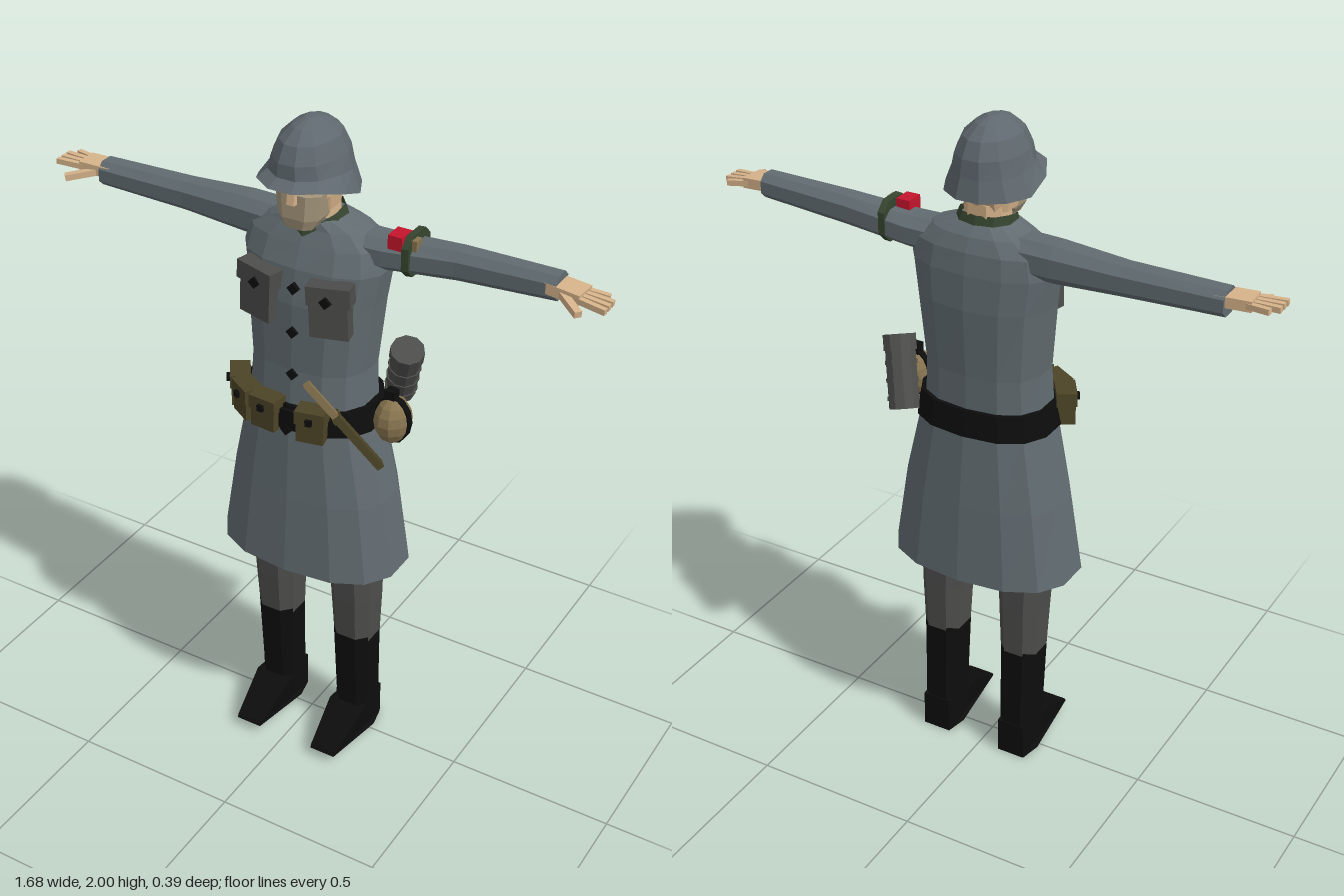
import * as THREE from 'three';

const V = (x, y, z) => new THREE.Vector3(x, y, z);
const mat = (name, color, side = THREE.FrontSide) => {
  const m = new THREE.MeshStandardMaterial({ color, side, flatShading: true });
  m.name = name;
  return m;
};

// Closed tube through oval sections [t, a0, a1, b0, b1, offset?].
// axis 'y': t = y, a = x range, b = z range; axis 'x': t = x, a = z range, b = y range.
function loft(axis, sections, n = 10, pow = 0.8, capStart = true, capEnd = true) {
  const pos = [], idx = [];
  const put = (t, a, b) => (axis === 'y' ? pos.push(a, t, b) : pos.push(t, b, a));
  const bend = v => Math.sign(v) * Math.abs(v) ** pow;
  for (const [t, a0, a1, b0, b1, offset] of sections) {
    for (let j = 0; j < n; j++) {
      const th = ((j + 0.5) / n) * Math.PI * 2, s = -Math.sin(th);
      put(t + (offset ? offset(s) : 0),
        (a0 + a1) / 2 + bend(Math.cos(th)) * (a1 - a0) / 2,
        (b0 + b1) / 2 + bend(s) * (b1 - b0) / 2);
    }
  }
  const last = sections.length - 1;
  for (let i = 0; i < last; i++) for (let j = 0; j < n; j++) {
    const k = (j + 1) % n, a = i * n + j, b = i * n + k;
    idx.push(a, b, b + n, a, b + n, a + n);
  }
  const cap = (i, flip) => {
    const [t, a0, a1, b0, b1] = sections[i], c = pos.length / 3;
    put(t, (a0 + a1) / 2, (b0 + b1) / 2);
    for (let j = 0; j < n; j++) {
      const p = i * n + j, q = i * n + (j + 1) % n;
      idx.push(c, flip ? q : p, flip ? p : q);
    }
  };
  if (capStart) cap(0, true);
  if (capEnd) cap(last, false);
  const g = new THREE.BufferGeometry();
  g.setAttribute('position', new THREE.Float32BufferAttribute(pos, 3));
  g.setIndex(idx);
  const flat = g.toNonIndexed();
  flat.computeVertexNormals();
  return flat;
}

export function createModel() {
  const root = new THREE.Group();
  root.name = 'soldier';

  const cloth = mat('coat grey', 0x616b70);
  const steel = mat('helmet steel', 0x5f686e, THREE.DoubleSide);
  const grey = mat('trouser grey', 0x4d4d4c);
  const black = mat('black leather', 0x0d0d0d);
  const skin = mat('skin', 0xd6b38a);
  const stubble = mat('jaw stubble', 0xa5977c);
  const olive = mat('olive canvas', 0x4c4427);
  const tan = mat('tan felt', 0x87744f);
  const green = mat('collar green', 0x36452f, THREE.DoubleSide);
  const red = mat('red patch', 0xc4152c);

  const add = (name, geo, m, parent = root) => {
    const o = new THREE.Mesh(geo, m);
    o.name = name;
    parent.add(o);
    return o;
  };
  const box = (name, p, s, m, ry = 0, rz = 0) => {
    const o = add(name, new THREE.BoxGeometry(...s), m);
    o.position.set(...p);
    o.rotation.set(0, ry, rz);
    return o;
  };
  // Bar running between two points
  const bar = (name, a, b, w, h, m) => {
    const o = add(name, new THREE.BoxGeometry(w, h, a.distanceTo(b)), m);
    o.position.copy(a).lerp(b, 0.5);
    o.lookAt(b);
    return o;
  };

  // Long coat, belt and collar
  add('coat', loft('y', [
    [0.66, -0.272, 0.298, -0.186, 0.18],
    [0.9, -0.235, 0.26, -0.168, 0.162],
    [1.13, -0.19, 0.206, -0.15, 0.142],
    [1.2, -0.178, 0.192, -0.138, 0.132],
    [1.3, -0.174, 0.186, -0.138, 0.122],
    [1.5, -0.192, 0.206, -0.148, 0.118],
    [1.6, -0.207, 0.222, -0.142, 0.102],
    [1.66, -0.195, 0.208, -0.132, 0.075],
    [1.7, -0.14, 0.155, -0.115, 0.055],
    [1.725, -0.08, 0.085, -0.092, 0.05],
  ], 14, 0.82), cloth);
  add('belt', loft('y', [
    [1.125, -0.203, 0.216, -0.163, 0.152], [1.2, -0.19, 0.204, -0.15, 0.144],
  ], 14, 0.82), black);
  const dip = s => (s > 0 ? -0.02 * s : 0);
  add('collar', loft('y', [
    [1.7, -0.085, 0.1, -0.1, 0.065, dip], [1.75, -0.075, 0.08, -0.085, 0.055, s => dip(s) * 1.6],
  ], 10, 0.9, false, false), green);
  box('buckle', [0.01, 1.162, 0.152], [0.055, 0.06, 0.012], black);

  // Coat buttons and breast pockets
  const button = (x, y, z) => {
    const o = add('button', new THREE.CylinderGeometry(0.018, 0.018, 0.012, 4), black);
    o.position.set(x, y, z);
    o.rotation.x = Math.PI / 2;
  };
  for (const [y, z] of [[1.55, 0.114], [1.42, 0.12], [1.29, 0.122], [1.13, 0.155]]) button(0.01, y, z);
  for (const s of [-1, 1]) {
    const x = 0.013 + s * 0.109;
    box('pocket', [x, 1.505, 0.11], [0.108, 0.13, 0.045], grey, s * 0.22, s * 0.04);
    box('pocketFlap', [x, 1.565, 0.112], [0.122, 0.055, 0.05], grey, s * 0.22, s * 0.06);
    button(x, 1.55, 0.138);
  }

  // Legs and boots
  for (const [name, cx, lean] of [['right', -0.11, -0.002], ['left', 0.152, -0.005]]) {
    add(name + 'TrouserLeg', loft('y', [
      [0.37, cx - 0.063, cx + 0.063, -0.076, 0.062],
      [0.52, cx - 0.069, cx + 0.069, -0.08, 0.075],
      [0.7, cx + lean - 0.078, cx + lean + 0.078, -0.08, 0.082],
    ], 8, 0.75), grey);
    add(name + 'BootShaft', loft('y', [
      [0.03, cx - 0.059, cx + 0.059, -0.084, 0.045],
      [0.14, cx - 0.057, cx + 0.057, -0.083, 0.05],
      [0.385, cx - 0.062, cx + 0.062, -0.075, 0.064],
    ], 8, 0.7), black);
    const side = new THREE.Shape([[-0.084, 0.002], [-0.02, 0.004], [0.197, 0.03], [0.19, 0.042],
      [0.05, 0.115], [-0.084, 0.115]].map(p => new THREE.Vector2(...p)));
    const foot = new THREE.ExtrudeGeometry(side, { depth: 0.116, bevelEnabled: false });
    foot.translate(0, 0, -0.058).rotateY(-Math.PI / 2);
    const p = foot.attributes.position;
    for (let i = 0; i < p.count; i++) {
      const z = p.getZ(i);
      p.setX(i, cx + p.getX(i) * (z > 0.1 ? 0.7 : z < -0.05 ? 0.75 : 1));
    }
    foot.computeVertexNormals();
    add(name + 'BootFoot', foot, black);
  }

  // Sleeves
  add('rightSleeve', loft('x', [
    [-0.7, -0.08, 0.004, 1.615, 1.692],
    [-0.42, -0.09, 0.004, 1.607, 1.697],
    [-0.22, -0.1, 0.02, 1.597, 1.71],
    [-0.1, -0.1, 0.03, 1.6, 1.71],
  ], 8, 0.8), cloth);
  add('leftSleeve', loft('x', [
    [0.1, -0.1, 0.03, 1.6, 1.7],
    [0.22, -0.1, 0.025, 1.605, 1.7],
    [0.42, -0.09, 0.005, 1.625, 1.714],
    [0.7, -0.08, -0.002, 1.645, 1.72],
  ], 8, 0.8), cloth);

  // Hands: palm, four fingers and a thumb
  for (const [s, y, drop] of [[-1, 1.663, 0.004], [1, 1.685, -0.014]]) {
    const at = (x, dy, z) => V(s * x, y + dy, z);
    bar('palm', at(0.67, 0, -0.038), at(0.768, drop / 2, -0.032), 0.068, 0.03, skin);
    for (let i = 0; i < 4; i++) {
      const z = -0.06 + i * 0.018;
      bar('finger', at(0.755, drop / 2, z), at(i === 0 ? 0.82 : 0.84, drop, z * 1.35 + 0.012), 0.015, 0.016, skin);
    }
    bar('thumb', at(0.71, -0.005, -0.015), at(0.785, -0.018, 0.045), 0.02, 0.018, skin);
  }

  // Arm strap with red patch
  add('armStrap', loft('x', [
    [0.28, -0.1, 0.028, 1.605, 1.73], [0.3, -0.1, 0.026, 1.607, 1.732],
  ], 8, 0.7), green);
  box('armPatch', [0.256, 1.705, -0.012], [0.042, 0.04, 0.055], red);
  box('strapTab', [0.306, 1.705, -0.01], [0.016, 0.03, 0.03], tan);

  // Head
  add('neck', loft('y', [
    [1.68, -0.058, 0.064, -0.082, 0.045], [1.78, -0.058, 0.062, -0.085, 0.04],
  ], 8), skin);
  add('skull', loft('y', [
    [1.755, -0.066, 0.07, -0.07, 0.06],
    [1.8, -0.073, 0.078, -0.095, 0.09],
    [1.9, -0.075, 0.08, -0.095, 0.1],
  ], 10), skin);
  add('jaw', loft('y', [
    [1.715, -0.042, 0.048, 0.02, 0.098],
    [1.745, -0.062, 0.067, -0.01, 0.105],
    [1.815, -0.07, 0.075, -0.01, 0.104],
  ], 8, 0.7), stubble);
  bar('nose', V(0.003, 1.845, 0.098), V(0.003, 1.79, 0.108), 0.022, 0.02, skin);
  for (const s of [-1, 1]) box('eye', [0.003 + s * 0.032, 1.842, 0.099], [0.03, 0.012, 0.008], black);

  // Helmet with a visor in front and a flared skirt at sides and back
  const visor = s => (s > 0.6 ? 0.05 : s > 0.2 ? 0.03 : 0);
  add('helmet', loft('y', [
    [1.803, -0.13, 0.138, -0.132, 0.175, visor],
    [1.862, -0.105, 0.111, -0.12, 0.14, s => (s > 0.2 ? 0.01 : 0)],
    [1.91, -0.093, 0.098, -0.116, 0.137],
    [1.955, -0.073, 0.078, -0.094, 0.115],
    [1.985, -0.042, 0.046, -0.055, 0.075],
    [2.0, -0.012, 0.016, -0.012, 0.03],
  ], 12, 1, false, true), steel);

  // Ammunition pouches on the belt
  for (const [x, z, ry] of [[-0.19, 0.075, -1], [-0.132, 0.128, -0.55], [-0.052, 0.152, -0.08], [0.09, 0.15, 0.2]]) {
    box('pouch', [x, 1.165, z], [0.078, 0.085, 0.05], olive, ry);
    box('pouchFlap', [x, 1.2, z], [0.086, 0.04, 0.058], olive, ry);
    const d = 0.033;
    box('pouchStud', [x + Math.sin(ry) * d, 1.193, z + Math.cos(ry) * d], [0.018, 0.018, 0.012], black, ry);
  }

  // Sheathed blade hanging at an angle
  const top = V(0.095, 1.32, 0.188), tip = V(0.25, 1.035, 0.055), mid = top.clone().lerp(tip, 0.38);
  bar('bladeGrip', top, mid, 0.02, 0.02, tan);
  bar('bladeGuard', mid, mid.clone().lerp(tip, 0.06), 0.05, 0.024, olive);
  bar('bladeSheath', mid, tip, 0.032, 0.022, olive);

  // Canteen with strap and cap
  const canteen = add('canteen', new THREE.SphereGeometry(1, 10, 8), tan);
  canteen.scale.set(0.052, 0.07, 0.06);
  canteen.position.set(0.268, 1.175, 0.02);
  const strap = add('canteenStrap', new THREE.CylinderGeometry(1, 1, 0.02, 12), black);
  strap.scale.set(0.055, 1, 0.073);
  strap.rotation.x = Math.PI / 2;
  strap.position.copy(canteen.position);
  box('canteenCap', [0.262, 1.252, 0.02], [0.03, 0.03, 0.03], black);

  // Ribbed canister slung behind the left hip
  const can = new THREE.Group();
  can.name = 'canister';
  root.add(can);
  add('canisterBody', new THREE.CylinderGeometry(0.044, 0.044, 0.2, 10), grey, can);
  add('canisterLid', new THREE.CylinderGeometry(0.048, 0.048, 0.045, 10), grey, can).position.y = 0.085;
  for (const y of [-0.07, -0.02, 0.03])
    add('canisterRib', new THREE.CylinderGeometry(0.047, 0.047, 0.012, 10), grey, can).position.y = y;
  can.position.set(0.225, 1.243, -0.115);
  can.quaternion.setFromUnitVectors(V(0, 1, 0), V(0.06, 0.19, 0.075).normalize());

  return root;
}
